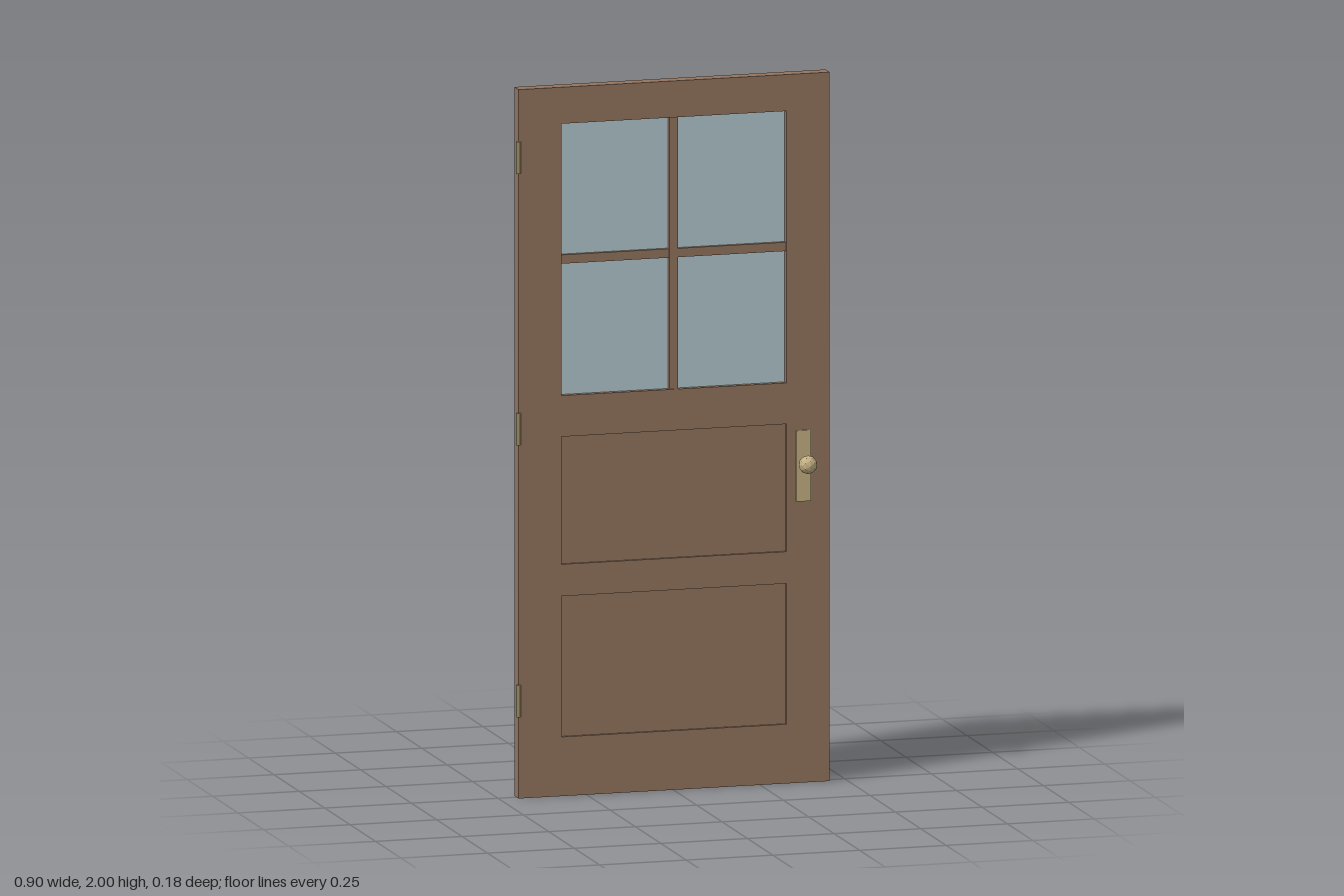
import * as THREE from 'three';

export function createModel() {
  const door = new THREE.Group();
  door.name = 'door';

  const material = (name, color, flatShading = false) => {
    const m = new THREE.MeshStandardMaterial({ color, flatShading });
    m.name = name;
    return m;
  };
  const wood = material('wood', 0x92745e);
  const glass = material('glass', 0xb0c6ce);
  const brass = material('brass', 0xc4b183, true);

  const add = (name, geometry, mat, x = 0, y = 0, z = 0, parent = door) => {
    const mesh = new THREE.Mesh(geometry, mat);
    mesh.name = name;
    mesh.position.set(x, y, z);
    parent.add(mesh);
    return mesh;
  };

  // Main dimensions
  const left = -0.447, right = 0.451, half = 0.02;
  const mid = (left + right) / 2;
  const openL = mid - 0.324, openR = mid + 0.324;
  const openW = openR - openL;
  const windowY = [1.13, 1.897];
  const panelYs = [[0.167, 0.564], [0.654, 1.014]];

  // Frame of stiles and rails, cut through for the window and panels
  const rect = (path, x0, x1, y0, y1) => {
    path.moveTo(x0, y0);
    path.lineTo(x1, y0);
    path.lineTo(x1, y1);
    path.lineTo(x0, y1);
    path.closePath();
    return path;
  };
  const outline = rect(new THREE.Shape(), left, right, 0, 2);
  for (const [y0, y1] of [windowY, ...panelYs]) {
    outline.holes.push(rect(new THREE.Path(), openL, openR, y0, y1));
  }
  const frame = new THREE.ExtrudeGeometry(outline, { depth: half * 2, bevelEnabled: false });
  add('frame', frame, wood, 0, 0, -half);

  // Recessed lower panels
  for (const [y0, y1] of panelYs) {
    add('panel', new THREE.BoxGeometry(openW, y1 - y0, 0.024), wood, mid, (y0 + y1) / 2);
  }

  // Window pane and glazing bars
  const windowH = windowY[1] - windowY[0];
  const windowMid = (windowY[0] + windowY[1]) / 2;
  add('windowPane', new THREE.BoxGeometry(openW, windowH, 0.008), glass, mid, windowMid);
  add('verticalGlazingBar', new THREE.BoxGeometry(0.025, windowH, 0.032), wood, mid, windowMid);
  add('horizontalGlazingBar', new THREE.BoxGeometry(openW, 0.025, 0.03), wood, mid, windowMid);

  // Plate, stem and faceted knob on both faces
  const handleX = 0.375, knobY = 0.905;
  for (const side of [1, -1]) {
    const handle = new THREE.Group();
    handle.name = side > 0 ? 'frontHandle' : 'backHandle';
    door.add(handle);
    add('plate', new THREE.BoxGeometry(0.043, 0.2, 0.004), brass, handleX, 0.894, side * (half + 0.002), handle);
    const stem = add('stem', new THREE.CylinderGeometry(0.008, 0.008, 0.03, 10), brass, handleX, knobY, side * 0.036, handle);
    stem.rotation.x = Math.PI / 2;
    add('knob', new THREE.IcosahedronGeometry(0.026, 1), brass, handleX, knobY, side * 0.066, handle);
  }

  // Hinge barrels along the front left edge
  for (const y of [0.275, 1.042, 1.808]) {
    add('hinge', new THREE.CylinderGeometry(0.007, 0.007, 0.09, 8), brass, left, y, half);
  }

  return door;
}
